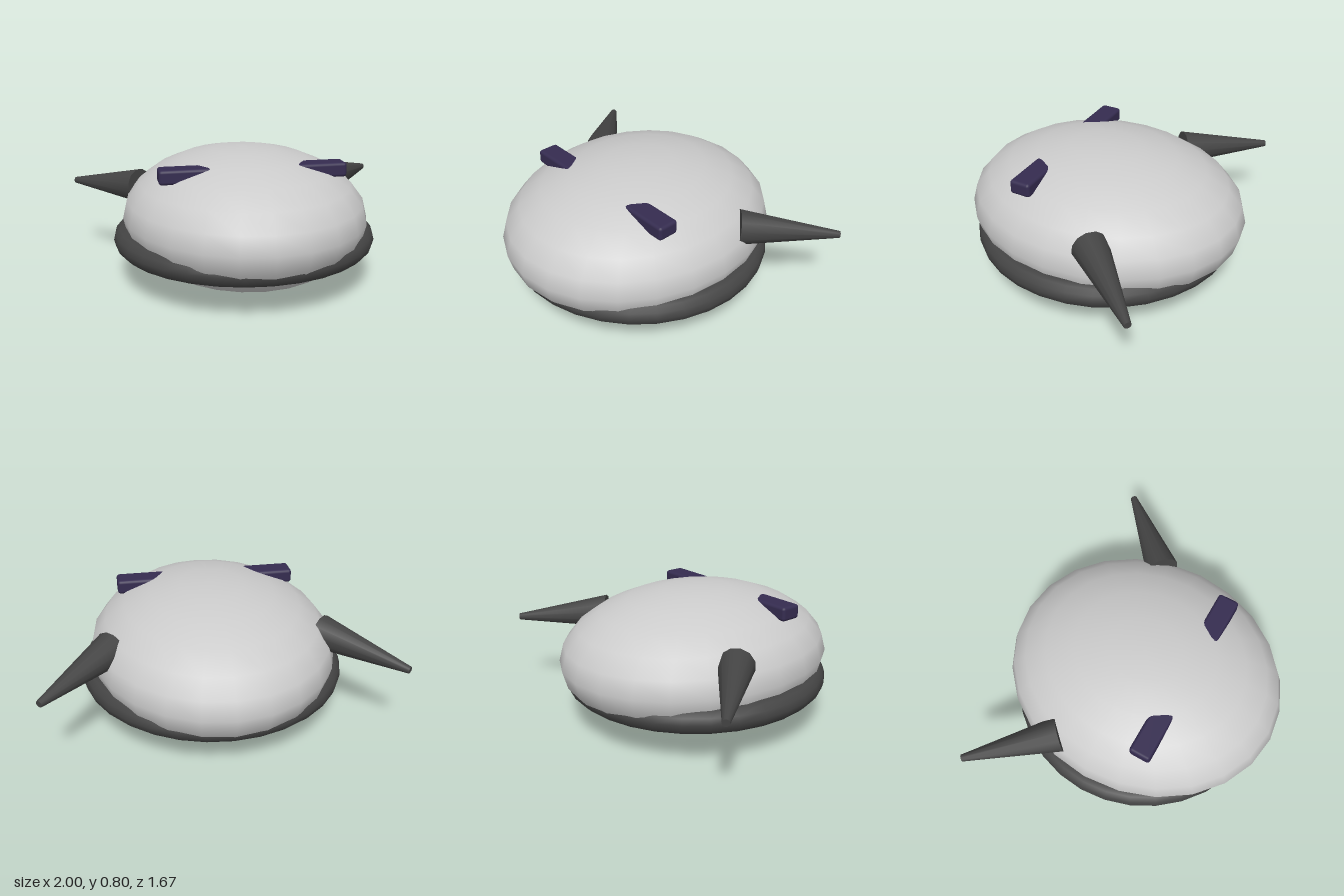
import * as THREE from 'three';
import { RoundedBoxGeometry } from 'three/addons/geometries/RoundedBoxGeometry.js';

const bodyMat = new THREE.MeshStandardMaterial({ color: 0xcccccc });
const darkMat = new THREE.MeshStandardMaterial({ color: 0x444444 });
const eyeMat = new THREE.MeshStandardMaterial({ color: 0x352c50 });

function addPart(group, name, geometry, material) {
  const mesh = new THREE.Mesh(geometry, material);
  mesh.name = name;
  group.add(mesh);
  return mesh;
}

export function createModel() {
  const model = new THREE.Group();
  model.name = 'hornedShell';

  // Flattened egg-shaped body
  const shell = addPart(model, 'body', new THREE.SphereGeometry(1, 24, 12), bodyMat);
  shell.scale.set(0.72, 0.398, 0.835);
  shell.position.y = 0.4;

  // Round rim around the lower half
  const rim = addPart(model, 'rim', new THREE.TorusGeometry(0.705, 0.073, 12, 32), darkMat);
  rim.rotation.x = Math.PI / 2;
  rim.position.y = 0.273;

  for (const side of [1, -1]) {
    const prefix = side > 0 ? 'left' : 'right';

    // Blunt horn sweeping outward and back
    const base = new THREE.Vector3(side * 0.6, 0.537, -0.223);
    const tip = new THREE.Vector3(side * 0.985, 0.49, -0.643);
    const axis = tip.clone().sub(base);
    const horn = addPart(model, prefix + 'Horn',
      new THREE.CylinderGeometry(0.02, 0.102, axis.length(), 12), darkMat);
    horn.position.copy(base).add(tip).multiplyScalar(0.5);
    horn.quaternion.setFromUnitVectors(new THREE.Vector3(0, 1, 0), axis.normalize());

    // Block eye half sunk into the body
    const eye = addPart(model, prefix + 'Eye',
      new RoundedBoxGeometry(0.29, 0.083, 0.125, 2, 0.018), eyeMat);
    eye.position.set(side * 0.387, 0.704, 0.255);
  }
  return model;
}
